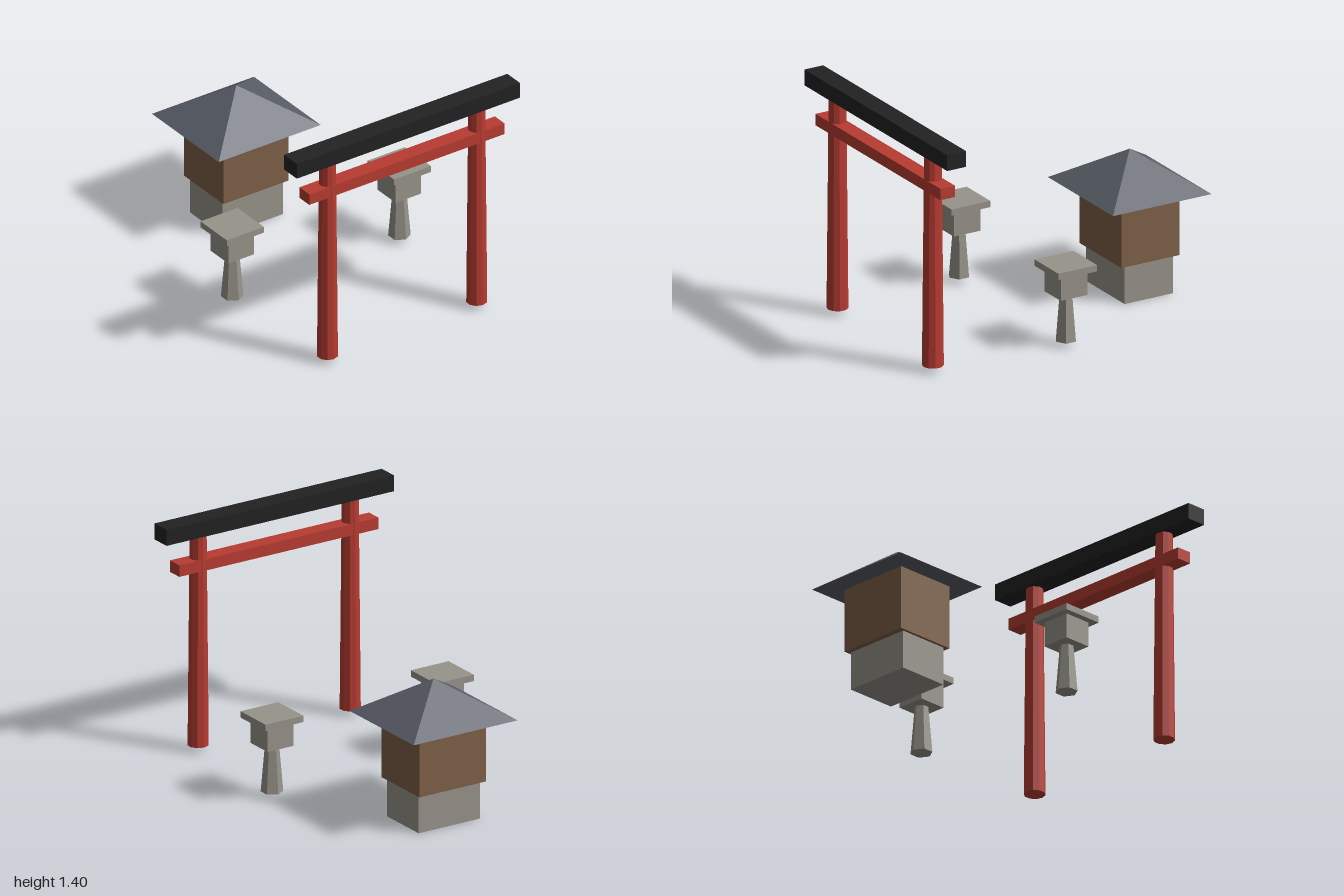
import * as THREE from 'three';

const material = (name, color, flat = true) =>
  Object.assign(new THREE.MeshStandardMaterial({ color, flatShading: flat }), { name });

export function createModel() {
  const red = material('vermilion paint', 0xb83c31);
  const black = material('black lacquer', 0x222222);
  const stone = material('stone', 0x97938a);
  const wood = material('brown wood', 0x7d6047);
  const slate = material('slate roof', 0x5a5e68);

  const model = new THREE.Group();
  model.name = 'shrine';

  function group(name, x, z) {
    const g = new THREE.Group();
    g.name = name;
    g.position.set(x, 0, z);
    model.add(g);
    return g;
  }

  // Place a geometry so that it spans from y0 to y1
  function add(parent, name, geometry, mat, x, y0, y1) {
    const mesh = new THREE.Mesh(geometry, mat);
    mesh.name = name;
    mesh.position.set(x, (y0 + y1) / 2, 0);
    parent.add(mesh);
  }
  const box = (parent, name, mat, w, d, y0, y1) =>
    add(parent, name, new THREE.BoxGeometry(w, y1 - y0, d), mat, 0, y0, y1);
  const post = (parent, name, mat, rTop, rBottom, sides, x, y0, y1) =>
    add(parent, name, new THREE.CylinderGeometry(rTop, rBottom, y1 - y0, sides), mat, x, y0, y1);

  // Gate: two tapered pillars, a tie beam and a heavy lintel
  const gate = group('gate', 0, 0.938);
  post(gate, 'leftPillar', red, 0.05, 0.062, 10, 0.515, 0.035, 1.306);
  post(gate, 'rightPillar', red, 0.05, 0.062, 10, -0.515, 0.035, 1.306);
  box(gate, 'tieBeam', red, 1.348, 0.096, 1.094, 1.163);
  box(gate, 'lintel', black, 1.54, 0.124, 1.306, 1.402);

  // Small shrine house on a stone base
  const house = group('house', 0, -0.675);
  box(house, 'base', stone, 0.416, 0.32, 0, 0.23);
  box(house, 'body', wood, 0.45, 0.385, 0.23, 0.614);
  const roof = new THREE.ConeGeometry(Math.SQRT2, 0.224, 4);
  roof.rotateY(Math.PI / 4).scale(0.352, 1, 0.325);
  add(house, 'roof', roof, slate, 0, 0.614, 0.838);

  // Pair of stone lanterns
  for (const [side, s] of [['left', 1], ['right', -1]]) {
    const lantern = group(side + 'Lantern', s * 0.577, 0.098);
    post(lantern, 'stem', stone, 0.04, 0.064, 6, 0, 0.035, 0.317);
    box(lantern, 'lightBox', stone, 0.175, 0.175, 0.317, 0.465);
    box(lantern, 'cap', stone, 0.256, 0.256, 0.465, 0.503);
  }

  return model;
}
